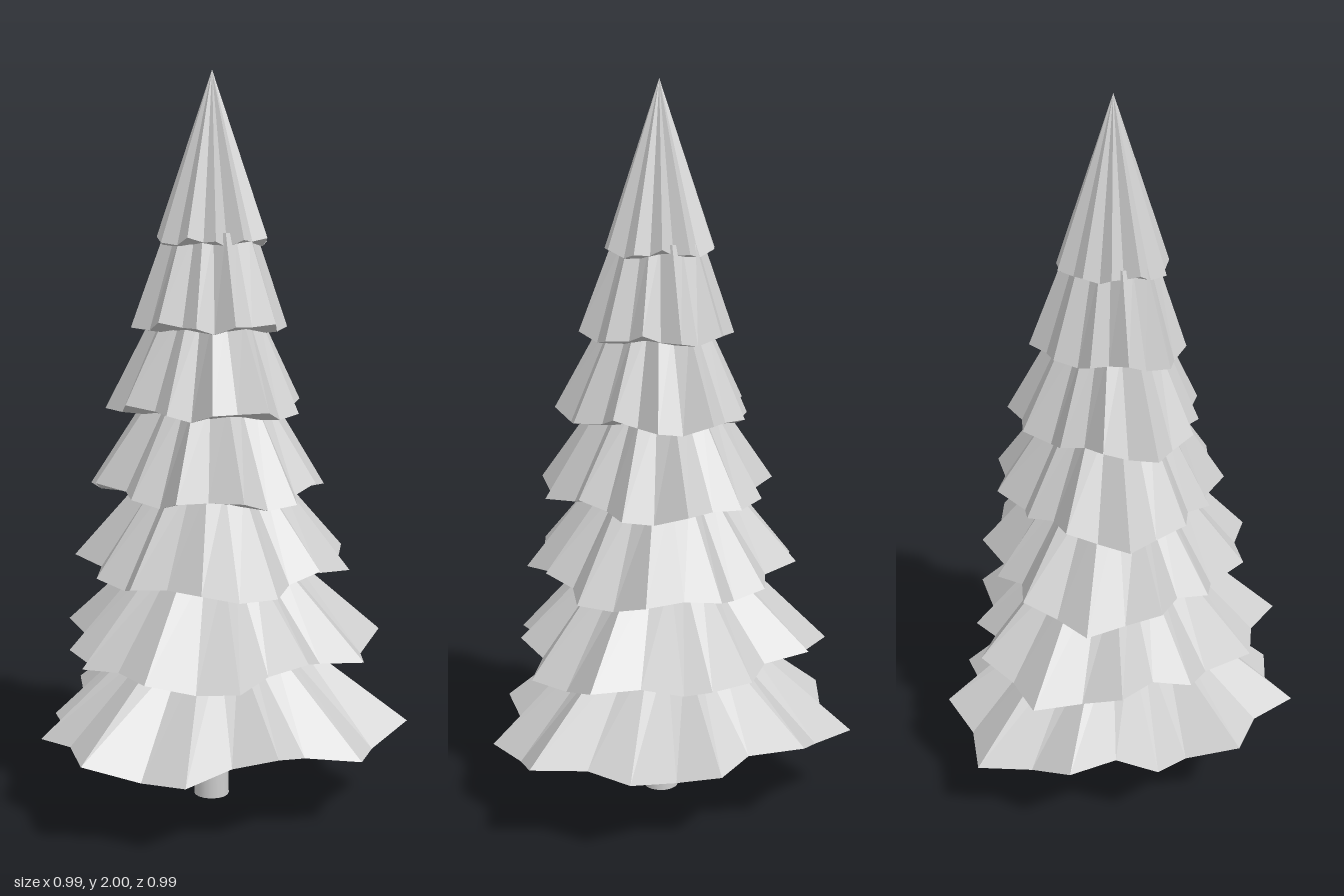
import * as THREE from 'three';

const SPOKES = 24;      // alternating branch tips and notches
const TIERS = 7;
const AXIS_Z = 0.045;   // the trunk stands slightly forward of centre

// One jagged ring of a tier; reach scales the outline, wave the rim's rise and fall
function ring(scale, turn, reach, y, wave) {
  const points = [];
  for (let j = 0; j < SPOKES; j++) {
    const a = (j / SPOKES) * Math.PI * 2;
    const notch = j % 2;
    const r = ((notch ? 0.435 : 0.497) + 0.048 * Math.cos(3 * a)) * scale * reach;
    const dy = wave * (-0.025 * Math.cos(5 * a) * scale - 0.012 * notch);
    points.push(new THREE.Vector3(r * Math.sin(a + turn), y + dy, -r * Math.cos(a + turn)));
  }
  return points;
}

// Faceted skin over a stack of rings
function loft(rings) {
  const pos = [];
  const add = (...pts) => pts.forEach((p) => pos.push(p.x, p.y, p.z));
  for (let i = 0; i < rings.length - 1; i++) {
    const a = rings[i], b = rings[i + 1];
    for (let j = 0; j < SPOKES; j++) {
      const k = (j + 1) % SPOKES;
      add(a[k], a[j], b[j]);
      if (b[j].distanceTo(b[k]) > 1e-6) add(a[k], b[j], b[k]);
    }
  }
  const geo = new THREE.BufferGeometry();
  geo.setAttribute('position', new THREE.Float32BufferAttribute(pos, 3));
  geo.computeVertexNormals();
  return geo;
}

export function createModel() {
  const group = new THREE.Group();
  group.name = 'firTree';
  const grey = new THREE.MeshStandardMaterial({ color: 0xcccccc, side: THREE.DoubleSide });
  grey.name = 'lightGrey';

  // Trunk
  const trunk = new THREE.Mesh(new THREE.CylinderGeometry(0.035, 0.049, 0.6, 16), grey);
  trunk.name = 'trunk';
  trunk.position.set(0, 0.3, AXIS_Z);
  group.add(trunk);

  // Branch tiers: each smaller and turned a little further than the one below
  for (let i = 0; i < TIERS; i++) {
    const scale = 1 - 0.117 * i;
    const turn = THREE.MathUtils.degToRad(-17 * i);
    const y = 0.225 + 0.222 * i;
    const last = i === TIERS - 1;
    const rings = [
      ring(scale, turn, 0.46, y - 0.03, 0.2),   // inner edge of the underside
      ring(scale, turn, 1, y, 1),               // rim
      last ? ring(scale, turn, 0, 2, 0)         // treetop
        : ring(scale, turn, 0.42 + 0.033 * i, y + 0.24, 0),
    ];
    const tier = new THREE.Mesh(loft(rings), grey);
    tier.name = last ? 'topTier' : `branchTier${i + 1}`;
    tier.position.z = AXIS_Z;
    group.add(tier);
  }
  return group;
}
